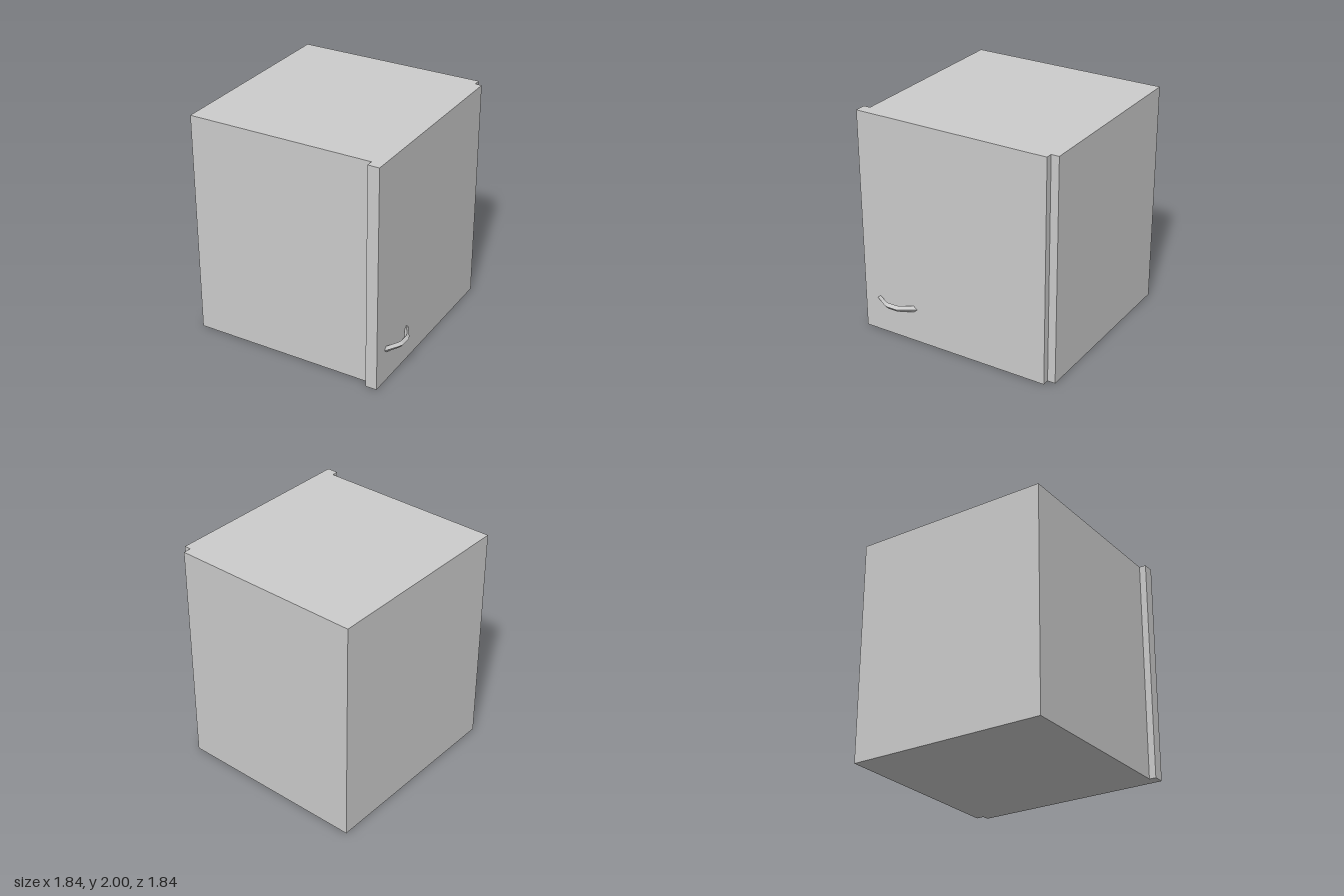
import * as THREE from 'three';

const HEIGHT = 2;

// Upright slab from a floor outline of [x, z] corners
function prism(outline) {
  const shape = new THREE.Shape(outline.map(([x, z]) => new THREE.Vector2(x, -z)));
  const geo = new THREE.ExtrudeGeometry(shape, { depth: HEIGHT, bevelEnabled: false });
  return geo.rotateX(-Math.PI / 2);
}

// Bow handle: diamond cross-sections lofted along z, mirrored about its middle
function handleGeometry(y, zMid, halfHeight) {
  // each station: [outer x, outer dz], [ridge x, ridge dz], [inner x, inner dz]
  const half = [
    [[0.825, 0.21], [0.825, 0.178], [0.825, 0.147]],
    [[0.903, 0.085], [0.886, 0.075], [0.868, 0.068]],
    [[0.918, 0.05], [0.896, 0.046], [0.875, 0.042]],
  ];
  const mirror = (s) => s.map(([x, d]) => [x, -d]);
  const stations = [...half.map(mirror), ...half.slice().reverse()];
  const rings = stations.map(([o, m, i]) => [
    [o[0], y, zMid + o[1]],
    [m[0], y + halfHeight, zMid + m[1]],
    [i[0], y, zMid + i[1]],
    [m[0], y - halfHeight, zMid + m[1]],
  ]);
  const pos = [];
  for (let r = 0; r < rings.length - 1; r++) {
    for (let j = 0; j < 4; j++) {
      const k = (j + 1) % 4;
      const [a, b, c, d] = [rings[r][j], rings[r][k], rings[r + 1][k], rings[r + 1][j]];
      pos.push(...a, ...b, ...c, ...a, ...c, ...d);
    }
  }
  const geo = new THREE.BufferGeometry();
  geo.setAttribute('position', new THREE.Float32BufferAttribute(pos, 3));
  geo.computeVertexNormals();
  return geo;
}

export function createModel() {
  const group = new THREE.Group();
  const material = new THREE.MeshStandardMaterial({ color: 0xcccccc, flatShading: true });
  const add = (name, geometry) => {
    const mesh = new THREE.Mesh(geometry, material);
    mesh.name = name;
    group.add(mesh);
  };

  // Cabinet body
  add('body', prism([[-0.92, 0.86], [0.768, 0.86], [0.768, -0.92], [-0.92, -0.92]]));

  // Side door with a lip wrapping round the front corner
  add('door', prism([
    [0.768, -0.85], [0.768, 0.86], [0.726, 0.86], [0.726, 0.92], [0.828, 0.92], [0.828, -0.85],
  ]));

  // Low horizontal handle on the door
  add('handle', handleGeometry(0.306, 0.592, 0.028));

  return group;
}
